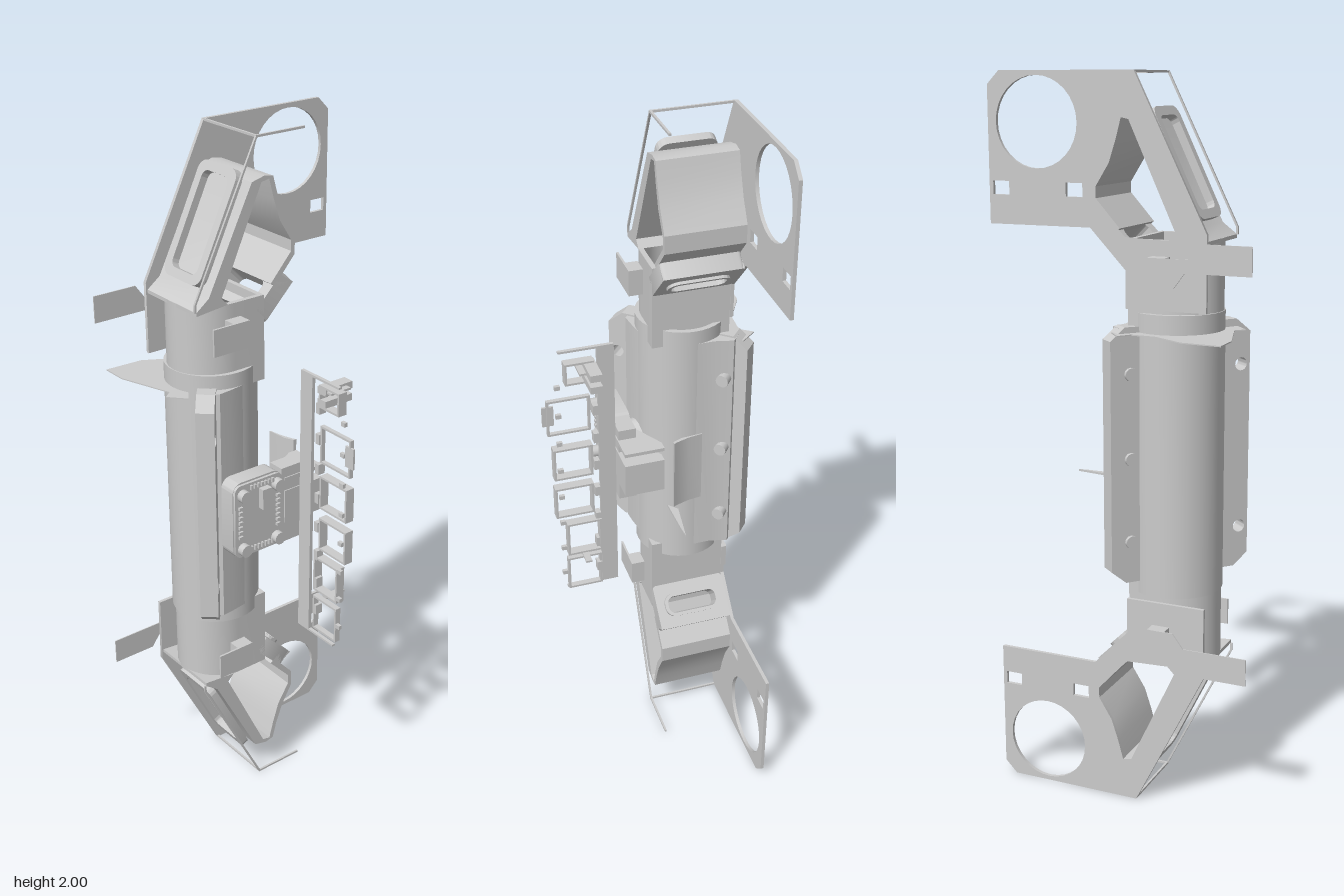
import * as THREE from 'three';
import { toCreasedNormals } from 'three/addons/utils/BufferGeometryUtils.js';

const mat = new THREE.MeshStandardMaterial({ color: 0xcccccc });
const thin = new THREE.MeshStandardMaterial({ color: 0xcccccc, side: THREE.DoubleSide });

function add(parent, name, geo, material = mat) {
  const m = new THREE.Mesh(geo, material);
  m.name = name;
  parent.add(m);
  return m;
}

// Box given by its lower and upper limits on each axis
function box(parent, name, [x0, x1], [y0, y1], [z0, z1]) {
  const g = new THREE.BoxGeometry(x1 - x0, y1 - y0, z1 - z0);
  return add(parent, name, g.translate((x0 + x1) / 2, (y0 + y1) / 2, (z0 + z1) / 2));
}

const poly = (pts) => new THREE.Shape(pts.map(([x, y]) => new THREE.Vector2(x, y)));
const rect = (x0, x1, y0, y1) => [[x0, y0], [x1, y0], [x1, y1], [x0, y1]];
const circle = (x, y, r) => new THREE.Path().absarc(x, y, r, 0, Math.PI * 2, false);

function rounded(w, h, r) {
  const s = new THREE.Shape();
  [[w / 2 - r, h / 2 - r, 0], [r - w / 2, h / 2 - r, 1], [r - w / 2, r - h / 2, 2], [w / 2 - r, r - h / 2, 3]]
    .forEach(([x, y, q]) => s.absarc(x, y, r, q * Math.PI / 2, (q + 1) * Math.PI / 2, false));
  return s;
}

// Outline flat on the right and round on the left, shrunk by t
function neckOutline(t) {
  const s = new THREE.Shape();
  s.moveTo(0.098 - t, t - 0.11);
  s.lineTo(0.098 - t, 0.11 - t);
  s.absellipse(0, 0, 0.122 - t, 0.11 - t, Math.PI / 2, Math.PI * 1.5, false);
  return s;
}

function extrude(shape, depth, holes = []) {
  shape.holes.push(...holes);
  const g = new THREE.ExtrudeGeometry(shape, { depth, bevelEnabled: false, curveSegments: 16 });
  return toCreasedNormals(g, 0.5);
}

// Horizontal sheet: outline in x and z, lying from y0 up by h
const sheet = (pts, y0, h) =>
  extrude(poly(pts.map(([x, z]) => [x, -z])), h).rotateX(-Math.PI / 2).translate(0, y0, 0);

// Rounded frame facing along a normal in the x-y plane, spanning two depths along it
function slotFrame(parent, name, [x, y], [nx, ny], [w, h, r], [slotW, slotH], [d0, d1]) {
  const geo = extrude(rounded(w, h, r), d1 - d0, [rounded(slotW, slotH, 0.02)]).translate(0, 0, d0);
  const m = add(parent, name, geo);
  m.position.set(x, y, -0.11);
  m.lookAt(x + nx, y + ny, -0.11);
}

// One end arm; up = 1 for the upper, -1 for the lower
function arm(up) {
  const g = new THREE.Group();
  g.name = up > 0 ? 'upperArm' : 'lowerArm';
  const fy = (y) => (up > 0 ? y : 2 - y);
  const map = (pts) => pts.map(([x, y]) => [x, fy(y)]);
  const flip = (y0, y1) => (up > 0 ? [y0, y1] : [2 - y1, 2 - y0]);
  const opening = [[-0.16, 1.6], [-0.03, 1.88], [-0.005, 1.885], [0.01, 1.83], [0.03, 1.77], [0.068, 1.71],
    [0.068, 1.68], [0.0, 1.605], [-0.02, 1.585], [-0.14, 1.58]];

  // Mounting plate with lamp hole and two slots
  const slots = [0.125, 0.34].map((x) => poly(rect(x - 0.024, x + 0.024, fy(1.7) - 0.018, fy(1.7) + 0.018)));
  add(g, 'mountingPlate', extrude(poly(map([[-0.245, 1.4], [-0.245, 1.6], [-0.045, 2], [0.34, 2], [0.375, 1.965],
    [0.375, 1.605], [0.08, 1.605], [-0.02, 1.5], [-0.02, 1.4]])), 0.01,
  [circle(0.233, fy(1.87), 0.118), ...slots, poly(map(opening))]).translate(0, 0, -0.23));

  // Deep ribbon-like body running round the opening
  const outer = [[-0.24, 1.57], [-0.24, 1.58], [-0.2, 1.61], [-0.06, 1.885], [-0.02, 1.895], [0.008, 1.89],
    [0.022, 1.84], [0.045, 1.78], [0.08, 1.72], [0.08, 1.67], [0.035, 1.62], [0.075, 1.595], [0.05, 1.57]];
  const ribbon = [...outer, ...opening.slice(0, 8).reverse(), opening[9]];
  add(g, 'armBody', extrude(poly(map(ribbon)), 0.22).translate(0, 0, -0.22));

  // Hollow neck into the housing
  const [n0, n1] = flip(1.34, 1.58);
  const neck = extrude(neckOutline(0), n1 - n0, [neckOutline(0.014)]).rotateX(-Math.PI / 2);
  add(g, 'armNeck', neck.translate(-0.12, n0, -0.11));

  // Slender front rim and corner tie
  add(g, 'frontRim', extrude(poly(map([[-0.245, 1.58], [-0.245, 1.6], [-0.045, 2], [0.11, 2], [0.11, 1.994],
    [-0.042, 1.994], [-0.239, 1.6], [-0.239, 1.58]])), 0.006).translate(0, 0, -0.006));
  box(g, 'cornerTie', [-0.046, -0.04], flip(1.994, 2), [-0.225, 0]);

  // Grip on the slope and slotted lug on the inner diagonal
  slotFrame(g, 'slopeGrip', [-0.125, fy(1.762)], [-0.9, 0.435 * up], [0.16, 0.31, 0.03], [0.11, 0.26], [0, 0.022]);
  slotFrame(g, 'innerLug', [0.028, fy(1.548)], [0.7, -0.7 * up], [0.22, 0.134, 0.01], [0.15, 0.05], [-0.05, 0]);
  slotFrame(g, 'lugRim', [0.028, fy(1.548)], [0.7, -0.7 * up], [0.17, 0.07, 0.03], [0.15, 0.05], [0, 0.008]);

  // Side brackets with clamp blocks, the rear one reaching further out
  add(g, 'rearBracket', extrude(poly(map([[-0.38, 1.505], [-0.38, 1.58], [-0.25, 1.58], [-0.22, 1.54], [-0.1, 1.54],
    [-0.1, 1.465], [-0.17, 1.465], [-0.2, 1.505]])), 0.003).translate(0, 0, -0.267));
  box(g, 'rearClamp', [-0.145, -0.095], flip(1.465, 1.54), [-0.265, -0.22]);
  add(g, 'frontBracket', sheet([[-0.215, 0.04], [-0.215, 0.034], [-0.15, 0.034], [-0.15, 0], [-0.1, 0], [-0.1, 0.04]],
    flip(1.465, 1.54)[0], 0.075));
  return g;
}

function housing() {
  const g = new THREE.Group();
  g.name = 'housing';
  g.position.set(-0.118, 0, -0.113);
  // Tubular shell with a square core
  const ring = [[0.112, 0.62], [0.127, 0.62], [0.127, 1.39], [0.112, 1.39], [0.112, 0.62]];
  add(g, 'tubeShell', toCreasedNormals(new THREE.LatheGeometry(ring.map((p) => new THREE.Vector2(...p)), 40), 0.5));
  const core = extrude(rounded(0.165, 0.125, 0.025), 0.9).rotateX(-Math.PI / 2);
  add(g, 'core', core.translate(0, 0.55, -0.005));

  // Opposite flanges on the diagonal, faired into the shell on one side
  const clamp = new THREE.Group();
  clamp.name = 'clamp';
  clamp.rotation.y = 0.86;
  g.add(clamp);
  for (const s of [-1, 1]) {
    const pts = [[0.1, 0.655], [0.165, 0.655], [0.207, 0.69], [0.207, 1.32], [0.165, 1.355], [0.1, 1.355]];
    const holes = s < 0 ? [0.77, 1.23].map((y) => circle(-0.18, y, 0.018)) : [];
    add(clamp, 'flange', extrude(poly(pts.map(([x, y]) => [s * x, y])), 0.05, holes).translate(0, 0, -0.025));
    const end = s < 0 ? 0.15 : 0.172;
    const fairing = [[0.1, 0], [end, 0], [end, 0.036], [0.125, 0.06], [0.09, 0.09], [0.05, 0.114]];
    add(clamp, 'fairing', sheet(fairing.map(([u, n]) => [s * u, n]), 0.66, 0.69));
  }
  // Bolts of the rear flange
  for (const y of [0.77, 1, 1.23]) {
    const bolt = new THREE.CylinderGeometry(0.018, 0.018, 0.1, 12).rotateX(Math.PI / 2);
    add(clamp, 'bolt', bolt.translate(0.15, y, 0.015));
  }
  return g;
}

// Thin collar around the top of the shell
function collar(parent) {
  add(parent, 'collar', sheet([[-0.32, -0.32], [-0.21, -0.315], [-0.12, -0.265], [-0.05, -0.26], [-0.025, -0.295],
    [0.012, -0.25], [-0.02, -0.2], [-0.12, -0.23], [-0.22, -0.17], [-0.23, -0.06], [-0.255, -0.025],
    [-0.295, -0.07], [-0.27, -0.09], [-0.32, -0.245]], 1.336, 0.003));
}

function frontModule() {
  const g = new THREE.Group();
  g.name = 'frontModule';
  // Mount stem and square body
  const stem = new THREE.CylinderGeometry(0.03, 0.055, 0.06, 20).rotateX(Math.PI / 2);
  add(g, 'mountStem', stem.translate(-0.125, 1, 0.03));
  add(g, 'moduleBody', extrude(rounded(0.165, 0.23, 0.03), 0.05).translate(-0.13, 1.005, 0.055));
  add(g, 'modulePlate', extrude(rounded(0.16, 0.22, 0.02), 0.008).translate(-0.13, 1.005, 0.105));
  // Corner knobs and small raised parts
  for (const x of [-0.185, -0.07])
    for (const y of [0.92, 1.085])
      add(g, 'knob', new THREE.CylinderGeometry(0.018, 0.018, 0.03, 14).rotateX(Math.PI / 2).translate(x, y, 0.118));
  box(g, 'chip', [-0.13, -0.1], [1.03, 1.09], [0.11, 0.132]);
  for (let i = 0; i < 7; i++) {
    const x = -0.16 + i * 0.012;
    const y = 0.955 + i * 0.015;
    box(g, 'pin', [x, x + 0.006], [0.905, 0.92], [0.113, 0.12]);
    box(g, 'pin', [x, x + 0.006], [1.095, 1.108], [0.113, 0.12]);
    box(g, 'edgeComponent', [-0.2, -0.188], [y, y + 0.008], [0.113, 0.12]);
    box(g, 'edgeComponent', [-0.072, -0.06], [y, y + 0.008], [0.113, 0.12]);
  }
  // Side block, wedge and flaps
  box(g, 'sideBlock', [-0.05, 0.02], [0.89, 1.12], [0.06, 0.11]);
  const wedge = [[-0.04, 0.06], [0.065, 0], [0.092, 0], [0.092, 0.113], [-0.04, 0.113]];
  for (const [y, h] of [[0.95, 0.1], [1.08, 0.01]]) add(g, 'wedge', sheet(wedge, y, h));
  const flap = [[0.086, -0.11], [0.092, -0.07], [0.105, -0.03], [0.11, -0.022], [0.1, -0.022], [0.088, -0.05], [0.083, -0.11]];
  add(g, 'sideFlap', sheet(flap, 0.895, 0.215));
  add(g, 'lowerFlap', sheet([[0.085, -0.012], [0.11, -0.035], [0.23, -0.017], [0.2, -0.014]], 0.88, 0.006));
  return g;
}

function circuitBoard() {
  const g = new THREE.Group();
  g.name = 'circuitBoard';
  box(g, 'boardStrip', [0.008, 0.018], [0.6, 1.4], [0.118, 0.165]);
  for (const y of [0.6, 1.394]) box(g, 'boardEdge', [0.008, 0.018], [y, y + 0.006], [0.165, 0.27]);
  // Open sockets: y range, z range, reach in x
  const sockets = [[1.31, 1.375, 0.18, 0.26, 0.045], [1.15, 1.26, 0.19, 0.31, 0.03], [1.01, 1.11, 0.19, 0.3, 0.045],
    [0.88, 0.98, 0.19, 0.3, 0.045], [0.74, 0.85, 0.17, 0.27, 0.045], [0.61, 0.72, 0.17, 0.27, 0.035]];
  for (const [y0, y1, z0, z1, reach] of sockets) {
    const t = 0.006;
    const frame = extrude(poly(rect(-z1, -z0, y0, y1)), reach - 0.018, [poly(rect(t - z1, -z0 - t, y0 + t, y1 - t))]);
    add(g, 'socket', frame.rotateY(Math.PI / 2).translate(0.018, 0, 0), thin);
  }
  // Prongs of the top socket
  for (const y of [1.315, 1.35]) box(g, 'prong', [0.018, 0.11], [y, y + 0.02], [0.175, 0.208]);
  // Small parts along the strip and front edge
  for (let i = 0; i < 8; i++) {
    const y = 0.66 + i * 0.09;
    box(g, 'component', [0.018, 0.04], [y, y + 0.03], [0.17, 0.185]);
    box(g, 'contact', [0.018, 0.028], [y, y + 0.012], [0.27, 0.285]);
  }
  for (const y of [0.735, 1.36]) box(g, 'edgePin', [0.018, 0.085], [y, y + 0.006], [0.212, 0.23]);
  box(g, 'edgeTip', [0.018, 0.024], [1.18, 1.24], [0.29, 0.322]);
  return g;
}

export function createModel() {
  const model = new THREE.Group();
  model.name = 'tubularAssembly';
  model.add(arm(1), arm(-1), housing(), frontModule(), circuitBoard());
  collar(model);
  return model;
}
